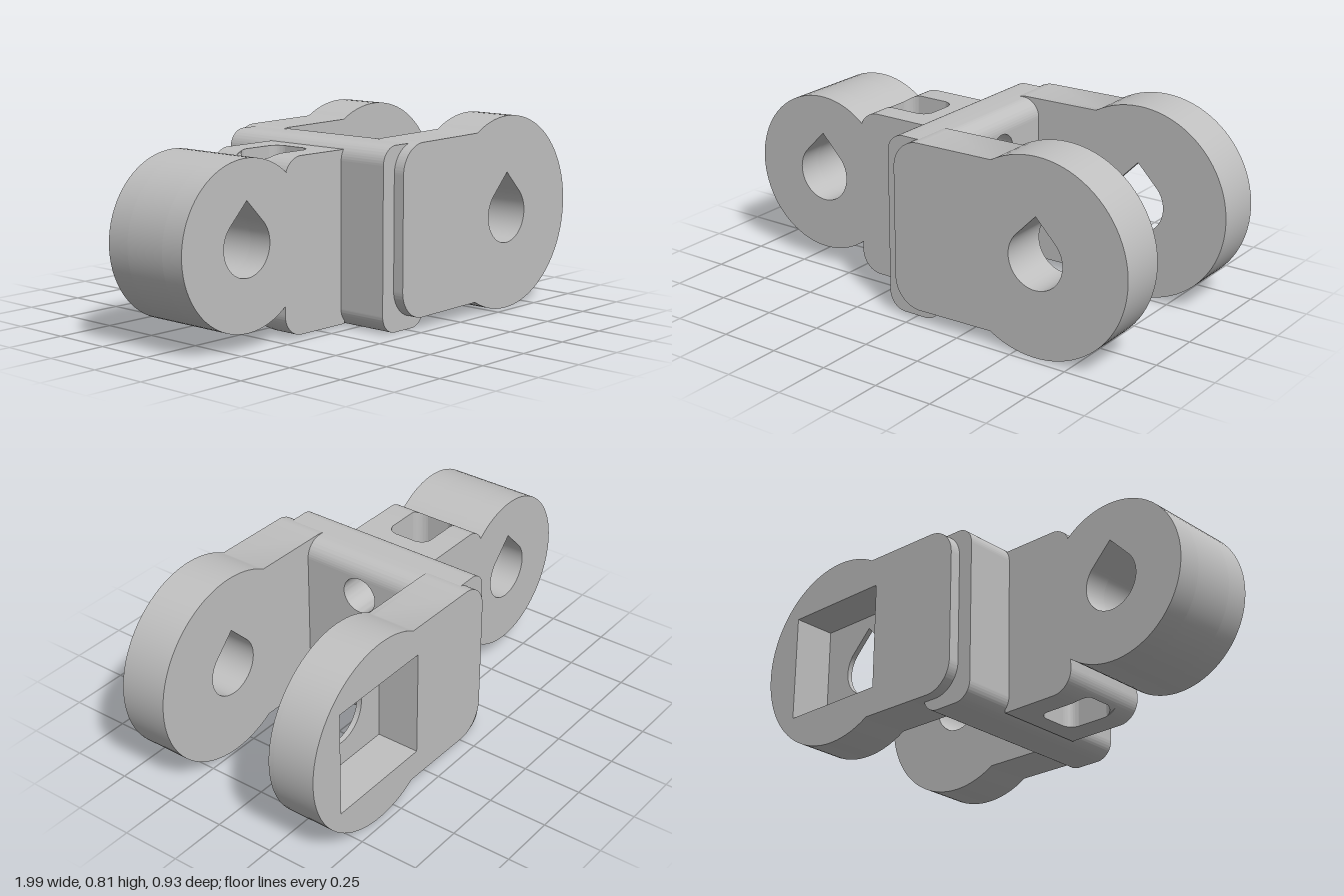
import * as THREE from 'three';
import { toCreasedNormals } from 'three/addons/utils/BufferGeometryUtils.js';

export function createModel() {
  const model = new THREE.Group();
  model.name = 'clevisLink';
  const grey = new THREE.MeshStandardMaterial({ color: 0xc0c0c0 });
  grey.name = 'grey';
  const PI = Math.PI;

  const add = (name, geo) => {
    const mesh = new THREE.Mesh(toCreasedNormals(geo, 0.6), grey);
    mesh.name = name;
    model.add(mesh);
  };
  const extrude = (shape, depth) =>
    new THREE.ExtrudeGeometry(shape, { depth, bevelEnabled: false, curveSegments: 28 });
  const alongZ = (shape, z0, z1) => extrude(shape, z1 - z0).translate(0, 0, z0);
  const alongX = (shape, x0, x1) => extrude(shape, x1 - x0).rotateY(PI / 2).translate(x0, 0, 0);
  const alongY = (shape, y0, y1) => extrude(shape, y1 - y0).rotateX(-PI / 2).translate(0, y0, 0);

  const rect = (x0, y0, x1, y1, Type = THREE.Shape) =>
    new Type([[x0, y0], [x1, y0], [x1, y1], [x0, y1]].map((p) => new THREE.Vector2(...p)));
  const circle = (x, y, r) => new THREE.Path().absarc(x, y, r, 0, 2 * PI);
  // Pin hole: a circle with a pointed roof
  const teardrop = (x, y, r) => {
    const p = new THREE.Path();
    p.absarc(x, y, r, 0.75 * PI, 2.25 * PI);
    p.lineTo(x, y + r * 1.43);
    p.closePath();
    return p;
  };

  // Cord bores: top and bottom, running along x
  const upper = { y: 0.59, r: 0.077, floor: 0.55 };
  const lower = { y: 0.205, r: 0.073, floor: 0.24 };
  const bored = (halfWidth, y0, y1) => {
    const s = rect(-halfWidth, y0, halfWidth, y1);
    s.holes.push(circle(0, upper.y, upper.r), circle(0, lower.y, lower.r));
    return s;
  };

  // Eye and block side profile; the notched version leaves room for the slots
  const slot = { x0: -0.43, x1: -0.2, z: 0.095, end: -0.41 };
  const eyeProfile = (notched) => {
    const s = new THREE.Shape();
    const stop = Math.acos(-0.06 / 0.09);
    s.absarc(-0.665, 0.4, 0.335, 0.874, 2 * PI - 0.905);
    s.absarc(-0.37, 0.1, 0.09, PI, notched ? 2 * PI - stop : 1.5 * PI);
    if (notched) {
      s.lineTo(slot.x0, lower.floor);
      s.lineTo(slot.end, lower.floor);
      s.lineTo(slot.end, upper.floor);
      s.lineTo(slot.x0, upper.floor);
    } else {
      s.lineTo(slot.x1, 0.01);
      s.lineTo(slot.x1, 0.715);
    }
    s.absarc(-0.37, 0.625, 0.09, notched ? stop : PI / 2, 2.74);
    s.closePath();
    s.holes.push(teardrop(-0.665, 0.4, 0.122));
    return s;
  };
  add('eyeFrontSide', alongZ(eyeProfile(false), slot.z, 0.2));
  add('eyeBackSide', alongZ(eyeProfile(false), -0.2, -slot.z));
  add('eyeMiddle', alongZ(eyeProfile(true), -slot.z, slot.z));

  // Slot floors with the round troughs of the bores
  const core = new THREE.Shape();
  const la = Math.asin((lower.floor - lower.y) / lower.r);
  const ua = Math.asin((upper.y - upper.floor) / upper.r);
  core.moveTo(-slot.z, lower.floor);
  core.absarc(0, lower.y, lower.r, PI - la, la, true);
  core.lineTo(slot.z, lower.floor);
  core.lineTo(slot.z, upper.floor);
  core.absarc(0, upper.y, upper.r, -ua, -PI + ua, true);
  core.lineTo(-slot.z, upper.floor);
  core.closePath();
  add('slotCore', alongX(core, slot.end, slot.x1));

  // Rounded corners of the slots, trimmed to the block's rounded edge
  const blockTop = (x) =>
    x < -0.37 ? 0.625 + Math.sqrt(Math.max(0, 0.0081 - (x + 0.37) ** 2)) : 0.715;
  const cr = 0.045;
  for (const [y0, y1] of [[upper.floor, 0.715], [0.01, lower.floor]])
    for (const [cx, sx] of [[slot.x0, 1], [slot.x1, -1]])
      for (const sz of [1, -1]) {
        const s = new THREE.Shape();
        const cz = sz * slot.z;
        s.moveTo(cx, cz);
        s.lineTo(cx + sx * cr, cz);
        s.quadraticCurveTo(cx + sx * cr * 0.15, cz - sz * cr * 0.15, cx, cz - sz * cr);
        s.closePath();
        const geo = alongY(s, y0, y1);
        const p = geo.attributes.position;
        for (let i = 0; i < p.count; i++) {
          const top = blockTop(p.getX(i));
          p.setY(i, Math.min(top, Math.max(0.725 - top, p.getY(i))));
        }
        add('slotCorner', geo);
      }

  // Neck between the slots and the cross plate
  add('neck', alongX(bored(0.2, 0.01, 0.715), slot.x1, -0.12));

  // Cross plate with rounded top and bottom edges
  const [px0, px1, pr, pTop] = [-0.14, 0.11, 0.075, 0.745];
  add('crossPlate', alongX(bored(0.42, pr, pTop - pr), px0, px1));
  const topEdge = new THREE.Shape();
  topEdge.moveTo(px0, pTop - pr);
  topEdge.lineTo(px1, pTop - pr);
  topEdge.absarc(px1 - pr, pTop - pr, pr, 0, PI / 2);
  topEdge.absarc(px0 + pr, pTop - pr, pr, PI / 2, PI);
  add('crossPlateTop', alongZ(topEdge, -0.42, 0.42));
  const bottomEdge = new THREE.Shape();
  bottomEdge.moveTo(px1, pr);
  bottomEdge.lineTo(px0, pr);
  bottomEdge.absarc(px0 + pr, pr, pr, PI, 1.5 * PI);
  bottomEdge.absarc(px1 - pr, pr, pr, 1.5 * PI, 2 * PI);
  add('crossPlateBottom', alongZ(bottomEdge, -0.42, 0.42));

  // Fork arms
  const armProfile = (hole) => {
    const s = new THREE.Shape();
    const a = PI - Math.asin(0.35 / 0.405);
    s.absarc(0.59, 0.405, 0.405, -a, a);
    s.absarc(0.045, 0.63, 0.12, PI / 2, PI);
    s.absarc(0.045, 0.17, 0.12, PI, 1.5 * PI);
    s.closePath();
    s.holes.push(hole);
    return s;
  };
  const pin = () => teardrop(0.59, 0.4, 0.122);
  add('frontArm', alongZ(armProfile(pin()), 0.26, 0.467));
  add('backArmWeb', alongZ(armProfile(pin()), -0.283, -0.26));
  // Square nut pocket in the outside of the back arm
  const pocket = rect(0.355, 0.175, 0.835, 0.63, THREE.Path);
  pocket.closePath();
  add('backArmPocket', alongZ(armProfile(pocket), -0.467, -0.283));

  return model;
}
